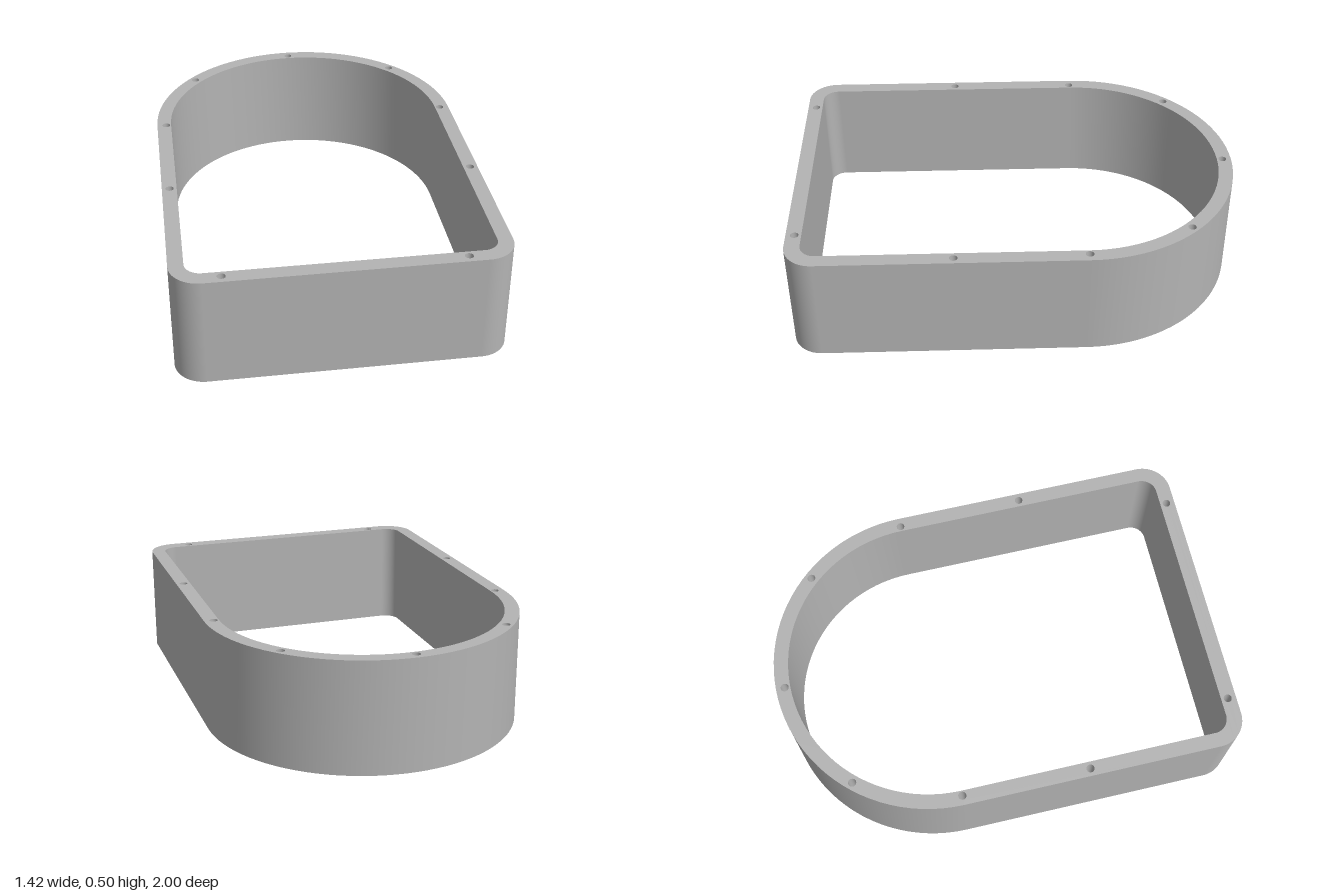
import * as THREE from 'three';

const HEIGHT = 0.5, ARC_Z = -0.292, HOLE_R = 0.018, HOLE_DEPTH = 0.15;

// Arch outline: square front with rounded corners, semicircular back (plan y = -z)
function outline(w, front, r) {
  const s = new THREE.Shape();
  s.moveTo(-w + r, -front);
  s.lineTo(w - r, -front);
  s.absarc(w - r, -front + r, r, -Math.PI / 2, 0, false);
  s.lineTo(w, -ARC_Z);
  s.absarc(0, -ARC_Z, w, 0, Math.PI, false);
  s.lineTo(-w, -front + r);
  s.absarc(-w + r, -front + r, r, Math.PI, Math.PI * 1.5, false);
  return cleaned(s.getPoints(24));
}

function circle(x, z) {
  const p = new THREE.Path();
  p.absarc(x, -z, HOLE_R, 0, Math.PI * 2, false);
  return cleaned(p.getPoints(12));
}

// Drop repeated neighbouring points, including the closing one
function cleaned(pts) {
  return pts.filter((p, i) => p.distanceTo(pts[(i + 1) % pts.length]) > 1e-5);
}

// Smooth vertical wall along a closed loop
function wall(pts, y0, y1, inward) {
  const pos = [], idx = [], n = pts.length;
  for (const p of pts) pos.push(p.x, y0, -p.y, p.x, y1, -p.y);
  for (let i = 0; i < n; i++) {
    const a = 2 * i, b = 2 * ((i + 1) % n);
    if (inward) idx.push(a, b + 1, b, a, a + 1, b + 1);
    else idx.push(a, b, b + 1, a, b + 1, a + 1);
  }
  const g = new THREE.BufferGeometry();
  g.setAttribute('position', new THREE.Float32BufferAttribute(pos, 3));
  g.setIndex(idx);
  g.computeVertexNormals();
  return g;
}

// Flat horizontal face with holes, facing up or down
function face(pts, holes, y, down) {
  const s = new THREE.Shape(pts);
  s.holes = holes.map((h) => new THREE.Path(h));
  const g = new THREE.ShapeGeometry(s);
  g.rotateX(-Math.PI / 2).translate(0, y, 0);
  if (down) {
    g.index.array.reverse();
    g.computeVertexNormals();
  }
  return g;
}

export function createModel() {
  const model = new THREE.Group();
  model.name = 'archedFrame';
  const grey = new THREE.MeshStandardMaterial({ color: 0xb3b3b3 });
  grey.name = 'grey';
  const add = (name, geometry) => {
    const m = new THREE.Mesh(geometry, grey);
    m.name = name;
    model.add(m);
  };

  const outer = outline(0.708, 1, 0.13);
  const inner = outline(0.643, 0.932, 0.07);

  // Blind screw holes: six on both rims, three more on the top only
  const shared = [];
  for (const s of [-1, 1]) shared.push([s * 0.5, 0.962], [s * 0.674, 0.282], [s * 0.5, -0.748]);
  const topOnly = [[0, -0.96], [-0.666, -0.292], [0.666, -0.292]];
  const topHoles = [...shared, ...topOnly].map(([x, z]) => circle(x, z));
  const bottomHoles = shared.map(([x, z]) => circle(x, z));

  add('outerWall', wall(outer, 0, HEIGHT, false));
  add('innerWall', wall(inner, 0, HEIGHT, true));
  add('topRim', face(outer, [inner, ...topHoles], HEIGHT, false));
  add('bottomRim', face(outer, [inner, ...bottomHoles], 0, true));

  for (const h of topHoles) {
    add('topHoleWall', wall(h, HEIGHT - HOLE_DEPTH, HEIGHT, true));
    add('topHoleFloor', face(h, [], HEIGHT - HOLE_DEPTH, false));
  }
  for (const h of bottomHoles) {
    add('bottomHoleWall', wall(h, 0, HOLE_DEPTH, true));
    add('bottomHoleEnd', face(h, [], HOLE_DEPTH, true));
  }
  return model;
}
